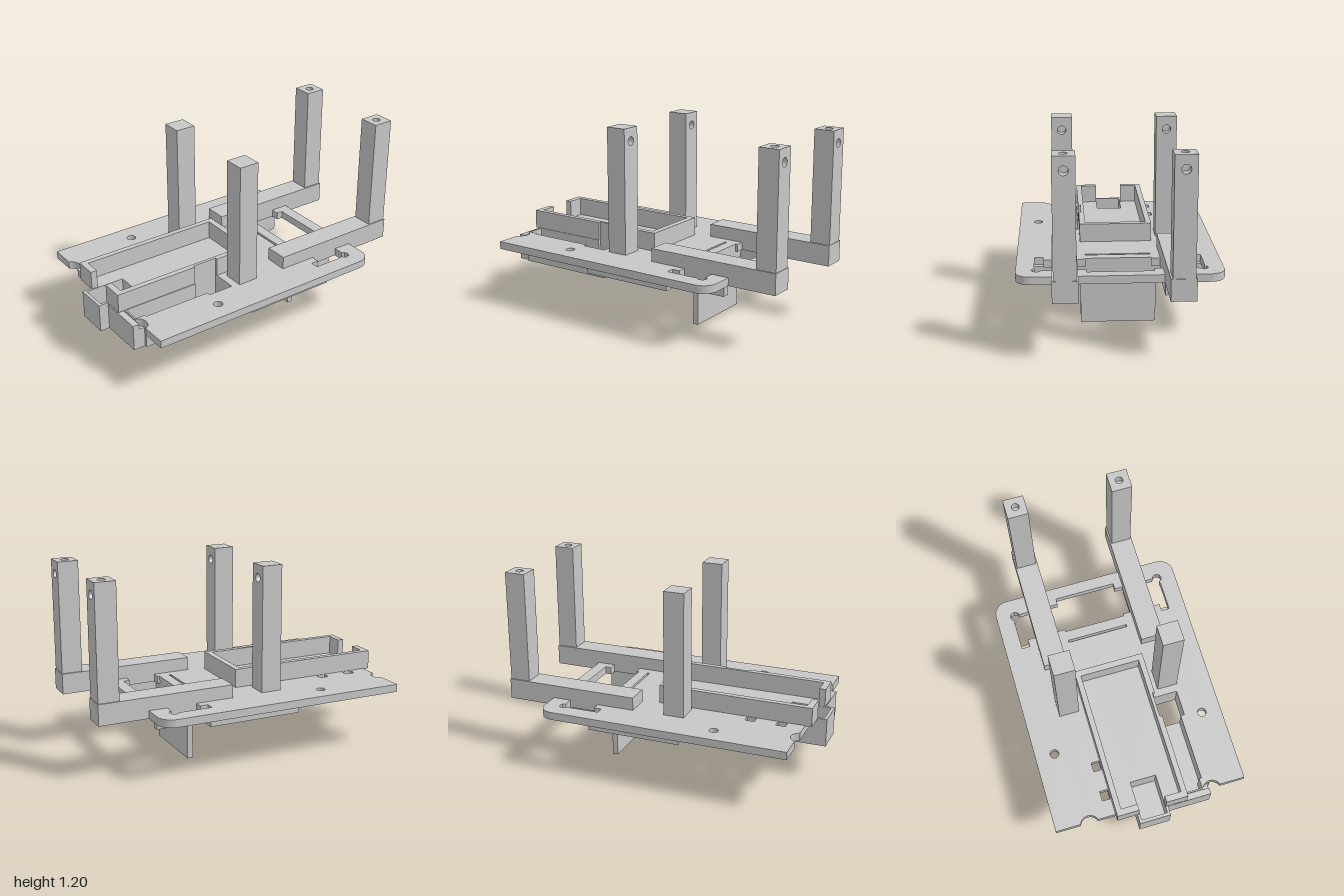
import * as THREE from 'three';

export function createModel() {
  const model = new THREE.Group();
  const grey = new THREE.MeshStandardMaterial({ color: 0xc7c7c7 });
  grey.name = 'light grey plastic';

  const add = (name, geometry, parent = model) => {
    const mesh = new THREE.Mesh(geometry, grey);
    mesh.name = name;
    parent.add(mesh);
    return mesh;
  };
  // Box given by its limits on each axis
  const box = (name, x0, x1, y0, y1, z0, z1, parent) =>
    add(name, new THREE.BoxGeometry(x1 - x0, y1 - y0, z1 - z0)
      .translate((x0 + x1) / 2, (y0 + y1) / 2, (z0 + z1) / 2), parent);
  const poly = (points) => new THREE.Shape(points.map(([x, z]) => new THREE.Vector2(x, z)));
  const rect = (x0, x1, z0, z1) => poly([[x0, z0], [x1, z0], [x1, z1], [x0, z1]]);
  const circle = (x, z, r) => new THREE.Shape().absarc(x, z, r, 0, Math.PI * 2, false);
  // Plan outline in (x, z), raised from y0 to y1
  const slab = (name, shape, holes, y0, y1, parent) => {
    shape.holes.push(...holes);
    const geometry = new THREE.ExtrudeGeometry(shape, { depth: y1 - y0, bevelEnabled: false, curveSegments: 16 });
    return add(name, geometry.rotateX(Math.PI / 2).translate(0, y1, 0), parent);
  };

  // Base plate with rounded end, edge notches and a connector slot
  const plate = new THREE.Shape();
  plate.moveTo(-0.9, -0.617);
  plate.lineTo(0.6, -0.617);
  plate.absarc(0.6, -0.527, 0.09, -Math.PI / 2, 0, false);
  plate.absarc(0.6, 0.527, 0.09, 0, Math.PI / 2, false);
  plate.lineTo(-0.9, 0.617);
  plate.absarc(-0.92, 0.4, 0.06, 1.23, -1.23, true);
  for (const [x, z] of [[-0.9, 0.083], [-0.73, 0.083], [-0.73, -0.083], [-0.9, -0.083]]) plate.lineTo(x, z);
  plate.absarc(-0.92, -0.4, 0.06, 1.23, -1.23, true);

  // Half of the large window, mirrored in z
  const half = [[0.37, 0.2], [0.385, 0.2], [0.385, 0.455], [0.335, 0.455], [0.335, 0.508], [0.52, 0.508],
    [0.545, 0.504], [0.552, 0.518], [0.57, 0.525], [0.59, 0.518], [0.6, 0.495], [0.593, 0.475],
    [0.575, 0.465], [0.575, 0.2], [0.615, 0.2]];
  const mirrored = half.map(([x, z]) => [x, -z]).reverse();
  const pocket = () => poly([[-0.89, 0.23], [-0.4, 0.23], [-0.4, 0.21], [-0.235, 0.21],
    [-0.235, 0.38], [-0.4, 0.38], [-0.4, 0.355], [-0.83, 0.355], [-0.83, 0.34], [-0.89, 0.34]]);
  slab('basePlate', plate, [
    poly([...half, ...mirrored]), pocket(),
    rect(0.29, 0.305, -0.2, 0.2),
    circle(-0.417, -0.493, 0.028), circle(-0.417, 0.493, 0.028),
    rect(-0.795, -0.733, -0.285, -0.235), rect(-0.6, -0.54, -0.285, -0.235),
  ], 0.364, 0.413);

  // Tray walls, open at the connector end
  slab('trayWall', poly([[-0.94, -0.23], [0.04, -0.23], [0.04, 0.225], [-0.235, 0.225], [-0.235, 0.21],
    [-0.4, 0.21], [-0.4, 0.225], [-0.94, 0.225], [-0.94, 0.085], [-0.9, 0.085], [-0.9, 0.19],
    [0, 0.19], [0, -0.195], [-0.9, -0.195], [-0.9, -0.09], [-0.94, -0.09]]), [], 0.41, 0.53);

  // Hollow housing under the plate
  const housing = () => poly([[-1, -0.1], [-0.56, -0.1], [-0.56, 0.2], [-0.225, 0.2], [-0.225, 0.4],
    [-0.865, 0.4], [-0.865, 0.385], [-0.94, 0.385], [-0.94, 0.1], [-1, 0.1]]);
  slab('housingWalls', housing(), [pocket(), rect(-0.98, -0.73, -0.083, 0.083)], 0.265, 0.365);
  slab('housingFloor', housing(), [rect(-0.4, -0.235, 0.21, 0.38)], 0.235, 0.265);
  slab('connectorRim', poly([[-0.9, 0.1], [-1, 0.1], [-1, -0.1], [-0.9, -0.1], [-0.9, -0.083],
    [-0.98, -0.083], [-0.98, 0.083], [-0.9, 0.083]]), [], 0.365, 0.413);
  box('housingLip', -0.94, -0.9, 0.365, 0.4, 0.1, 0.385);

  // Upright post: a blind hole faces +x, optionally another in the top
  const post = (name, x, z, y0, topHole) => {
    const g = new THREE.Group();
    g.name = name;
    const w = 0.065, yCap = 1.15;
    box('postBack', x - w, x, y0, yCap, z - w, z + w, g);
    const face = rect(-w, w, y0, yCap);
    face.holes.push(circle(0, 1.118, 0.027));
    add('postFront', new THREE.ExtrudeGeometry(face, { depth: w, bevelEnabled: false, curveSegments: 12 })
      .rotateY(Math.PI / 2).translate(x, 0, z), g);
    slab('postCap', rect(x - w, x + w, z - w, z + w), topHole ? [circle(x, z, 0.024)] : [], yCap, 1.2, g);
    model.add(g);
  };

  for (const s of [-1, 1]) {
    const side = s > 0 ? 'left' : 'right';
    const span = (a, b) => (s > 0 ? [a, b] : [-b, -a]);
    post(side + 'InnerPost', -0.122, s * 0.33, 0.41, false);
    post(side + 'OuterPost', 0.932, s * 0.33, 0.49, true);
    box(side + 'Rail', 0.145, 1, 0.364, 0.495, ...span(0.255, 0.403));
    // Clips and ribs beneath the plate
    box(side + 'Clip', 0.37, 0.605, 0.253, 0.366, ...span(0.267, 0.313));
    box(side + 'EdgeRib', -0.22, 0.37, 0.315, 0.366, ...span(0.535, 0.567));
  }
  for (const x of [-0.15, 0.05]) box('crossRib', x - 0.015, x + 0.015, 0.315, 0.366, -0.54, -0.18);

  // Hanging panel on a full-width crossbar
  box('hangingPanel', 0.335, 0.37, 0, 0.37, -0.23, 0.23);
  box('crossbar', 0.31, 0.37, 0.315, 0.366, -0.567, 0.567);
  return model;
}
